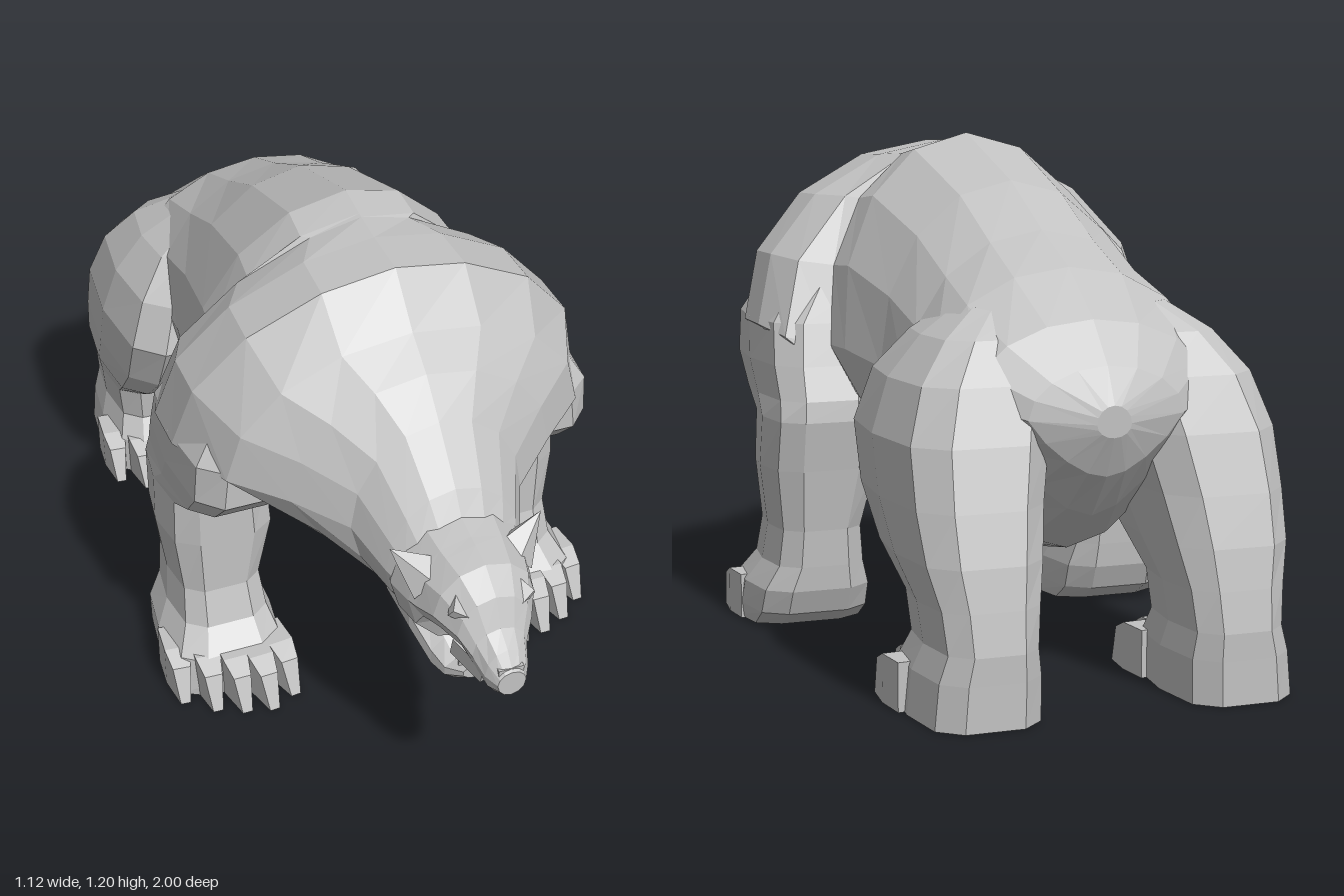
import * as THREE from 'three';

const fur = new THREE.MeshStandardMaterial({ color: 0xc2c2c2, flatShading: true });
fur.name = 'grey fur';

// Skin a closed surface over equal-sized rings of points, capped at both ends
function loft(rings) {
  const n = rings[0].length, pos = [], idx = [];
  rings.forEach(r => r.forEach(p => pos.push(...p)));
  for (let i = 0; i < rings.length - 1; i++) {
    for (let j = 0; j < n; j++) {
      const a = i * n + j, b = i * n + (j + 1) % n, c = b + n, d = a + n;
      idx.push(a, d, b, b, d, c);
    }
  }
  [0, rings.length - 1].forEach((k, end) => {
    const centre = pos.length / 3;
    pos.push(...[0, 1, 2].map(q => rings[k].reduce((s, p) => s + p[q], 0) / n));
    for (let j = 0; j < n; j++) {
      const a = k * n + j, b = k * n + (j + 1) % n;
      if (end) idx.push(centre, b, a); else idx.push(centre, a, b);
    }
  });
  const g = new THREE.BufferGeometry();
  g.setAttribute('position', new THREE.Float32BufferAttribute(pos, 3));
  g.setIndex(idx);
  const flat = g.toNonIndexed();
  flat.computeVertexNormals();
  return flat;
}

const power = (v, e) => Math.sign(v) * Math.abs(v) ** e;

// Ring across z: top, bottom, height of the widest point, half width, lean,
// how strongly the lower half narrows, and how peaked the upper half is
function bodyRing([z, top, bot, mid, hw, lean = 0, taper = 0, peak = 1], n = 16) {
  return Array.from({ length: n }, (_, j) => {
    const t = (j / n) * Math.PI * 2, c = Math.cos(t);
    const y = mid + c * (c > 0 ? top - mid : mid - bot);
    const x = hw * power(Math.sin(t), c > 0 ? peak : 1) * (1 + taper * Math.min(c, 0));
    return [x, y, z + (y - mid) * lean];
  });
}

// Ring across y: inner and outer x, back and front z, on one side
function legRing([y, xin, xout, zb, zf], side, n = 10) {
  return Array.from({ length: n }, (_, j) => {
    const t = ((j + 0.5) / n) * Math.PI * 2;
    return [side * (xin + xout) / 2 - power(Math.sin(t), 0.6) * (xout - xin) / 2, y,
      (zb + zf) / 2 + power(Math.cos(t), 0.6) * (zf - zb) / 2];
  });
}

function add(parent, name, geometry) {
  const m = new THREE.Mesh(geometry, fur);
  m.name = name;
  parent.add(m);
  return m;
}

// Box tapered towards its front into a sloping toe with a claw edge
function toeGeometry(w, h, len) {
  const g = new THREE.BoxGeometry(w, h, len, 1, 1, 2);
  const p = g.attributes.position;
  for (let i = 0; i < p.count; i++) {
    const z = p.getZ(i), top = p.getY(i) > 0;
    if (z > len * 0.4) {
      p.setX(i, p.getX(i) * (top ? 0.7 : 0.4));
      if (top) p.setXYZ(i, p.getX(i), h * 0.3, len * 0.3);
    }
  }
  const flat = g.toNonIndexed();
  flat.computeVertexNormals();
  return flat;
}

function makeLeg(name, rings, side, [x0, x1, z]) {
  const leg = new THREE.Group();
  leg.name = name;
  add(leg, name + 'Limb', loft(rings.map(r => legRing(r, side))));
  const w = (x1 - x0) / 5;
  // Toes run from the inner to the outer edge, the outer ones set back
  [0.03, 0, 0.015, 0.045, 0.1].forEach((back, i) => {
    const toe = add(leg, 'toe', toeGeometry(w * 1.02, 0.11, 0.17));
    toe.position.set(side * (x0 + w * (i + 0.5)), 0.055, z - 0.085 - back);
    toe.rotation.y = side * (i - 2) * 0.05;
  });
  return leg;
}

export function createModel() {
  const bear = new THREE.Group();
  bear.name = 'bear';

  // Torso from rump to neck, with a step on the flanks where the shoulders begin
  add(bear, 'torso', loft([
    [-0.92, 0.66, 0.59, 0.62, 0.04], [-0.88, 0.74, 0.5, 0.63, 0.18, 0, 0.4],
    [-0.8, 0.83, 0.4, 0.66, 0.28, 0, 0.5], [-0.66, 0.93, 0.3, 0.67, 0.335, 0, 0.3],
    [-0.5, 1.0, 0.27, 0.66, 0.325], [-0.33, 1.1, 0.33, 0.68, 0.33, 0.06],
    [-0.15, 1.2, 0.4, 0.7, 0.36, 0.3], [-0.06, 1.185, 0.4, 0.7, 0.37, 0.3, 0.2],
    [-0.04, 1.183, 0.41, 0.72, 0.475, 0.3, 0.5, 1.4],
    [0.07, 1.175, 0.41, 0.74, 0.512, 0.25, 0.75, 1.15],
    [0.2, 1.17, 0.4, 0.74, 0.512, 0.25, 0.75, 1.12],
    [0.38, 1.06, 0.41, 0.74, 0.44, 0.1, 0.6], [0.48, 1.0, 0.425, 0.72, 0.32, 0.05, 0.4],
    [0.57, 0.92, 0.445, 0.68, 0.21, 0, 0.1], [0.67, 0.805, 0.455, 0.62, 0.165],
    [0.71, 0.745, 0.47, 0.6, 0.145],
  ].map(r => bodyRing(r))));

  // Head
  const head = new THREE.Group();
  head.name = 'head';
  bear.add(head);
  add(head, 'skull', loft([
    [0.62, 0.75, 0.48, 0.61, 0.14], [0.69, 0.755, 0.45, 0.6, 0.162],
    [0.76, 0.738, 0.45, 0.6, 0.148], [0.785, 0.733, 0.53, 0.6, 0.14],
    [0.84, 0.72, 0.54, 0.61, 0.122], [0.9, 0.675, 0.53, 0.59, 0.09],
    [0.93, 0.61, 0.485, 0.55, 0.066], [0.97, 0.58, 0.46, 0.52, 0.052],
    [1.0, 0.54, 0.475, 0.51, 0.034],
  ].map(r => bodyRing(r, 12))));
  add(head, 'lowerJaw', loft([
    [0.6, 0.58, 0.46, 0.52, 0.14], [0.69, 0.53, 0.41, 0.47, 0.12],
    [0.75, 0.46, 0.345, 0.4, 0.088], [0.79, 0.42, 0.35, 0.385, 0.07],
    [0.83, 0.42, 0.38, 0.4, 0.04],
  ].map(r => bodyRing(r, 10))));
  const nose = add(head, 'nose', new THREE.BoxGeometry(0.06, 0.035, 0.03));
  nose.position.set(0, 0.53, 0.98);

  for (const side of [1, -1]) {
    // Ears, brows, lips and fangs
    const ear = add(head, 'ear', new THREE.ConeGeometry(0.06, 0.12, 5));
    ear.scale.z = 0.75;
    ear.position.set(side * 0.142, 0.695, 0.745);
    ear.rotation.set(-0.3, 0, -side * 0.75);
    const brow = add(head, 'brow', new THREE.BoxGeometry(0.07, 0.025, 0.05));
    brow.position.set(side * 0.06, 0.64, 0.875);
    brow.rotation.set(0.4, side * 0.5, side * 0.35);
    const lip = add(head, 'lip', new THREE.BoxGeometry(0.025, 0.05, 0.1));
    lip.position.set(side * 0.055, 0.515, 0.9);
    lip.rotation.set(0.25, -side * 0.35, 0);
    const fang = add(head, 'upperFang', new THREE.ConeGeometry(0.012, 0.06, 5));
    fang.position.set(side * 0.035, 0.465, 0.9);
    fang.rotation.x = Math.PI + 0.2;
    const lower = add(head, 'lowerFang', new THREE.ConeGeometry(0.012, 0.05, 5));
    lower.position.set(side * 0.03, 0.435, 0.805);

    // Legs, the front pair swelling into the overhanging shoulder
    const label = side > 0 ? 'left' : 'right';
    bear.add(makeLeg(label + 'FrontLeg', [
      [0, 0.25, 0.55, 0.02, 0.29], [0.04, 0.25, 0.55, -0.05, 0.29],
      [0.1, 0.25, 0.545, -0.075, 0.28], [0.16, 0.27, 0.51, -0.08, 0.22],
      [0.25, 0.28, 0.5, -0.085, 0.19], [0.4, 0.24, 0.52, -0.105, 0.19],
      [0.52, 0.25, 0.515, -0.125, 0.19], [0.57, 0.25, 0.51, -0.12, 0.3],
      [0.65, 0.23, 0.515, -0.09, 0.38], [0.75, 0.2, 0.51, -0.055, 0.38],
      [0.86, 0.14, 0.44, -0.01, 0.34],
    ], side, [0.25, 0.56, 0.39]));
    bear.add(makeLeg(label + 'HindLeg', [
      [0, 0.16, 0.43, -1.0, -0.63], [0.1, 0.16, 0.42, -1.0, -0.63],
      [0.16, 0.17, 0.4, -1.0, -0.67], [0.25, 0.16, 0.41, -0.985, -0.66],
      [0.34, 0.14, 0.435, -0.97, -0.53], [0.45, 0.12, 0.445, -0.94, -0.41],
      [0.58, 0.09, 0.445, -0.9, -0.35], [0.7, 0.07, 0.405, -0.85, -0.38],
      [0.79, 0.06, 0.33, -0.78, -0.45], [0.85, 0.05, 0.24, -0.7, -0.5],
    ], side, [0.15, 0.45, -0.52]));
  }
  return bear;
}
